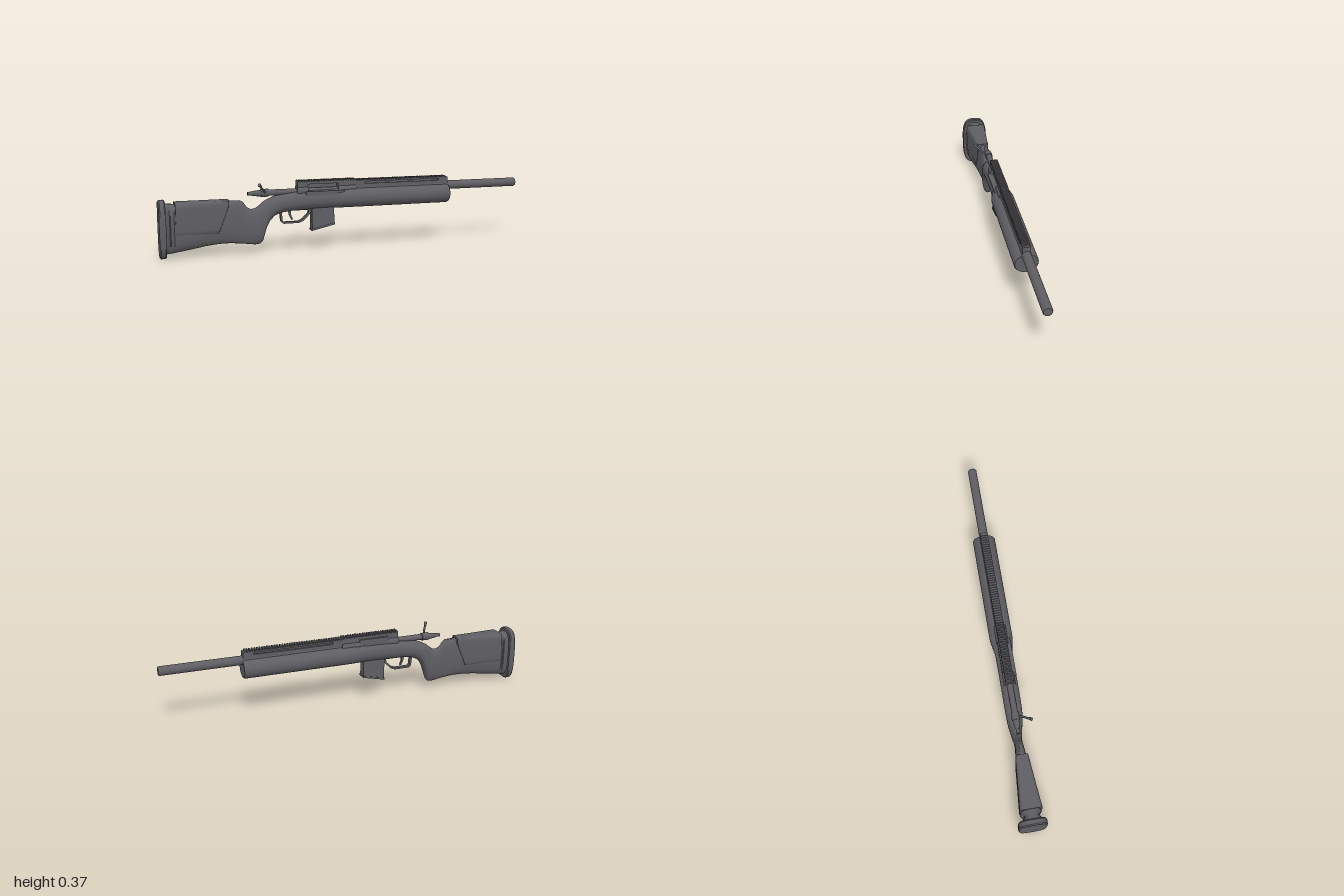
import * as THREE from 'three';
import { toCreasedNormals } from 'three/addons/utils/BufferGeometryUtils.js';

const gunmetal = new THREE.MeshStandardMaterial({ color: 0x5f5e63 });
gunmetal.name = 'gunmetal grey';

// Skin of superellipse sections along x: [x, bottom, top, halfWidth, squareness]
function loft(stations, sides = 32, crease = 0.6) {
  const pos = [], idx = [];
  for (const [x, yb, yt, w, n = 2] of stations) {
    for (let j = 0; j < sides; j++) {
      const a = (j / sides) * Math.PI * 2, c = Math.cos(a), s = Math.sin(a);
      const r = (v) => Math.sign(v) * Math.abs(v) ** (2 / n);
      pos.push(x, (yb + yt) / 2 + r(s) * (yt - yb) / 2, r(c) * w);
    }
  }
  const last = stations.length - 1, c0 = (last + 1) * sides;
  for (const s of [stations[0], stations[last]]) pos.push(s[0], (s[1] + s[2]) / 2, 0);
  for (let j = 0; j < sides; j++) {
    const k = (j + 1) % sides;
    for (let i = 0; i < last; i++) {
      const a = i * sides + j, b = a + sides, c = b - j + k, d = i * sides + k;
      idx.push(a, b, c, a, c, d);
    }
    idx.push(c0, j, k, c0 + 1, last * sides + k, last * sides + j);
  }
  const g = new THREE.BufferGeometry();
  g.setAttribute('position', new THREE.Float32BufferAttribute(pos, 3));
  g.setIndex(idx);
  return toCreasedNormals(g, crease);
}

// Side outline in x, y extruded evenly about z = 0
function plate(points, depth, holes = []) {
  const shape = new THREE.Shape(points.map((p) => new THREE.Vector2(...p)));
  for (const h of holes) shape.holes.push(new THREE.Path(h.map((p) => new THREE.Vector2(...p))));
  return new THREE.ExtrudeGeometry(shape, { depth, bevelEnabled: false }).translate(0, 0, -depth / 2);
}

const rect = (x0, x1, y0, y1) => [[x0, y0], [x1, y0], [x1, y1], [x0, y1]];

export function createModel() {
  const model = new THREE.Group();
  model.name = 'boltActionRifle';
  const add = (name, geometry, parent = model) => {
    const m = new THREE.Mesh(geometry, gunmetal);
    m.name = name;
    parent.add(m);
    return m;
  };
  const box = (name, x0, x1, y0, y1, z0, z1, parent) => add(name,
    new THREE.BoxGeometry(x1 - x0, y1 - y0, z1 - z0).translate((x0 + x1) / 2, (y0 + y1) / 2, (z0 + z1) / 2), parent);
  const rod = (name, x0, x1, y, r, r2 = r, parent) => add(name,
    new THREE.CylinderGeometry(r2, r, x1 - x0, 28).rotateZ(-Math.PI / 2).translate((x0 + x1) / 2, y, 0), parent);

  // Butt pad and spacer
  add('buttPad', loft([
    [-1, 0.008, 0.296, 0.070, 3.2], [-0.994, 0.003, 0.302, 0.074, 3.2],
    [-0.972, 0.003, 0.302, 0.074, 3.2], [-0.966, 0.008, 0.297, 0.070, 3.2]], 40));

  // Stock from butt through grip to forend
  add('stock', loft([
    [-0.968, 0.025, 0.285, 0.058, 3], [-0.947, 0.026, 0.282, 0.040, 3], [-0.942, 0.026, 0.282, 0.040, 3],
    [-0.925, 0.030, 0.280, 0.054, 3], [-0.85, 0.040, 0.281, 0.048, 2.8], [-0.77, 0.053, 0.282, 0.040, 2.7],
    [-0.70, 0.060, 0.283, 0.034, 2.6], [-0.64, 0.060, 0.284, 0.028, 2.4], [-0.585, 0.055, 0.283, 0.022, 2.3],
    [-0.568, 0.053, 0.272, 0.021, 2.2], [-0.55, 0.050, 0.245, 0.022, 2.2], [-0.53, 0.047, 0.234, 0.025, 2.2],
    [-0.505, 0.045, 0.238, 0.029, 2.2], [-0.482, 0.048, 0.254, 0.034, 2.2], [-0.469, 0.062, 0.266, 0.037, 2.2],
    [-0.46, 0.092, 0.272, 0.039, 2.2], [-0.447, 0.135, 0.279, 0.041, 2.2], [-0.43, 0.168, 0.287, 0.043, 2.2],
    [-0.405, 0.193, 0.297, 0.044, 2.2], [-0.37, 0.208, 0.306, 0.045, 2.2], [-0.31, 0.215, 0.316, 0.045, 2.2],
    [-0.23, 0.218, 0.322, 0.045, 2.2], [-0.10, 0.220, 0.324, 0.046, 2.1], [-0.02, 0.219, 0.326, 0.061, 2.1],
    [0.57, 0.219, 0.326, 0.061, 2.1], [0.578, 0.223, 0.322, 0.057, 2.1]]));

  // Cheek panel wrapped over the butt
  add('cheekPanel', loft([
    [-0.918, 0.118, 0.288, 0.058, 7], [-0.80, 0.118, 0.289, 0.047, 7],
    [-0.70, 0.118, 0.290, 0.0385, 7], [-0.67, 0.195, 0.290, 0.0355, 7],
    [-0.645, 0.262, 0.290, 0.031, 7]], 40, 0.5));

  // Barrel
  rod('barrel', 0.0, 0.994, 0.316, 0.024);
  rod('muzzleCrown', 0.994, 1, 0.316, 0.024, 0.021);

  // Receiver with an open port on the +z side
  const receiver = new THREE.Group();
  receiver.name = 'receiver';
  model.add(receiver);
  rod('rearRing', -0.285, -0.225, 0.318, 0.031, 0.031, receiver);
  rod('frontRing', -0.06, 0.04, 0.318, 0.031, 0.031, receiver);
  box('farWall', -0.225, -0.06, 0.30, 0.352, -0.028, -0.012, receiver);
  box('portSill', -0.24, -0.03, 0.295, 0.318, 0.0, 0.043, receiver);
  box('rearBridge', -0.283, -0.225, 0.32, 0.356, -0.022, 0.022, receiver);
  box('frontBridge', -0.06, 0.04, 0.32, 0.356, -0.022, 0.022, receiver);

  // Toothed rails on top
  const teeth = (name, x0, x1, y, pitch) => {
    const row = new THREE.Group();
    row.name = name;
    model.add(row);
    for (let x = x0; x + pitch * 0.6 <= x1; x += pitch) box('railTooth', x, x + pitch * 0.6, y, y + 0.007, -0.021, 0.021, row);
  };
  box('receiverRail', -0.283, 0.04, 0.354, 0.368, -0.022, 0.022);
  teeth('receiverRailTeeth', -0.283, 0.04, 0.368, 0.0135);
  add('forendRail', plate(rect(0.04, 0.575, 0.318, 0.363), 0.042, [rect(0.09, 0.52, 0.346, 0.356)]));
  box('railWeb', 0.08, 0.53, 0.335, 0.36, -0.012, 0.012);
  teeth('forendRailTeeth', 0.042, 0.575, 0.363, 0.0135);

  // Bolt, shroud and turned-up handle
  const bolt = new THREE.Group();
  bolt.name = 'bolt';
  model.add(bolt);
  rod('boltBody', -0.46, -0.05, 0.316, 0.016, 0.016, bolt);
  rod('boltCollar', -0.475, -0.435, 0.316, 0.021, 0.021, bolt);
  rod('boltShroud', -0.52, -0.475, 0.315, 0.012, 0.018, bolt);
  rod('cockingPiece', -0.545, -0.52, 0.315, 0.010, 0.010, bolt);
  const path = new THREE.CatmullRomCurve3([[-0.455, 0.318, 0.012], [-0.463, 0.330, 0.028],
    [-0.478, 0.347, 0.050], [-0.49, 0.361, 0.066]].map((p) => new THREE.Vector3(...p)));
  add('boltHandle', new THREE.TubeGeometry(path, 12, 0.0055, 10), bolt);
  const knob = add('boltKnob', new THREE.CylinderGeometry(0.009, 0.006, 0.022, 14), bolt);
  knob.position.set(-0.49, 0.362, 0.067);
  knob.quaternion.setFromUnitVectors(new THREE.Vector3(0, 1, 0), new THREE.Vector3(-0.45, 0.55, 0.62).normalize());

  // Magazine with floor plate
  add('magazine', plate([[-0.205, 0.112], [-0.082, 0.140], [-0.084, 0.235], [-0.205, 0.235]], 0.046));
  add('magazineFloor', plate([[-0.208, 0.103], [-0.079, 0.132], [-0.079, 0.142], [-0.208, 0.113]], 0.052));

  // Trigger guard and trigger
  add('triggerGuard', plate(
    [[-0.378, 0.222], [-0.372, 0.160], [-0.358, 0.148], [-0.275, 0.148], [-0.25, 0.158], [-0.212, 0.195], [-0.205, 0.222]], 0.022,
    [[[-0.367, 0.216], [-0.362, 0.164], [-0.354, 0.157], [-0.278, 0.157], [-0.256, 0.166], [-0.224, 0.198], [-0.220, 0.216]]]));
  add('trigger', plate([[-0.332, 0.225], [-0.326, 0.190], [-0.312, 0.165], [-0.305, 0.168],
    [-0.315, 0.192], [-0.314, 0.225]], 0.010));

  return model;
}
